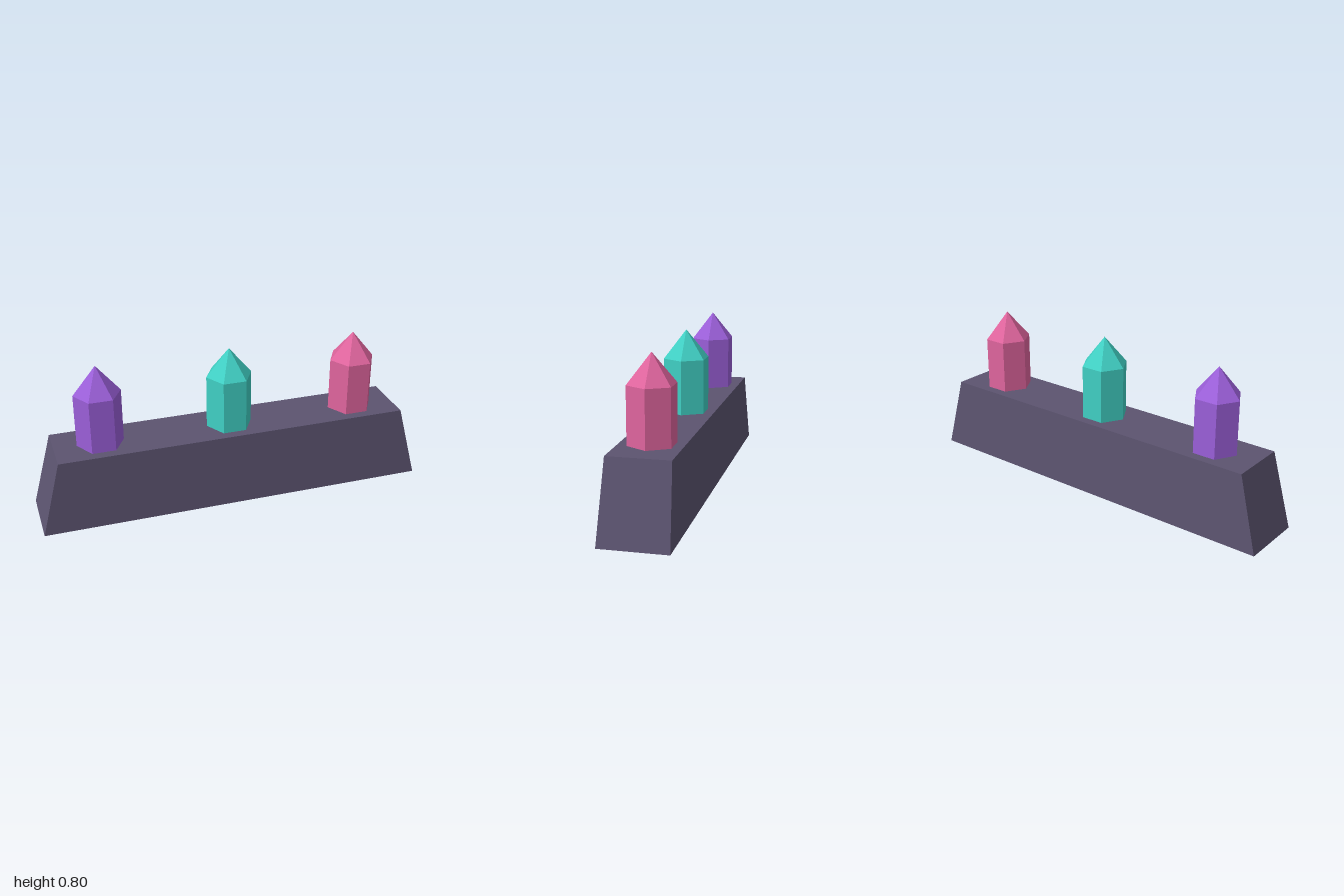
import * as THREE from 'three';

const BASE_H = 0.383, SHOULDER = 0.657, TIP = 0.8, RADIUS = 0.118;

function material(name, color) {
  const m = new THREE.MeshStandardMaterial({ color, flatShading: true });
  m.name = name;
  return m;
}

// Box narrowed at the top to make a sloped plinth
function plinthGeometry() {
  const geo = new THREE.BoxGeometry(2, BASE_H, 0.33).translate(0, BASE_H / 2, 0);
  const pos = geo.attributes.position;
  for (let i = 0; i < pos.count; i++) {
    if (pos.getY(i) > BASE_H / 2) {
      pos.setX(i, Math.sign(pos.getX(i)) * 0.9);
      pos.setZ(i, Math.sign(pos.getZ(i)) * 0.15);
    }
  }
  geo.computeVertexNormals();
  return geo;
}

// Six-sided shaft with a pointed cap, one corner facing +x
function crystal(name, x, mat) {
  const group = new THREE.Group();
  group.name = name;
  const shaftH = SHOULDER - BASE_H, capH = TIP - SHOULDER;
  const shaft = new THREE.Mesh(
    new THREE.CylinderGeometry(RADIUS, RADIUS, shaftH, 6, 1, true, Math.PI / 6), mat);
  shaft.name = name + 'Shaft';
  shaft.position.y = BASE_H + shaftH / 2;
  const cap = new THREE.Mesh(
    new THREE.ConeGeometry(RADIUS, capH, 6, 1, true, Math.PI / 6), mat);
  cap.name = name + 'Point';
  cap.position.y = SHOULDER + capH / 2;
  group.add(shaft, cap);
  group.position.x = x;
  return group;
}

export function createModel() {
  const model = new THREE.Group();
  model.name = 'crystalStand';

  const plinth = new THREE.Mesh(plinthGeometry(), material('slate', 0x5c5470));
  plinth.name = 'plinth';
  model.add(plinth);

  // Row of three crystals
  [
    ['purpleCrystal', -0.667, material('purple', 0x9b5fd9)],
    ['tealCrystal', 0, material('teal', 0x40d0c4)],
    ['pinkCrystal', 0.667, material('pink', 0xe0659e)],
  ].forEach(([name, x, mat]) => model.add(crystal(name, x, mat)));

  return model;
}
